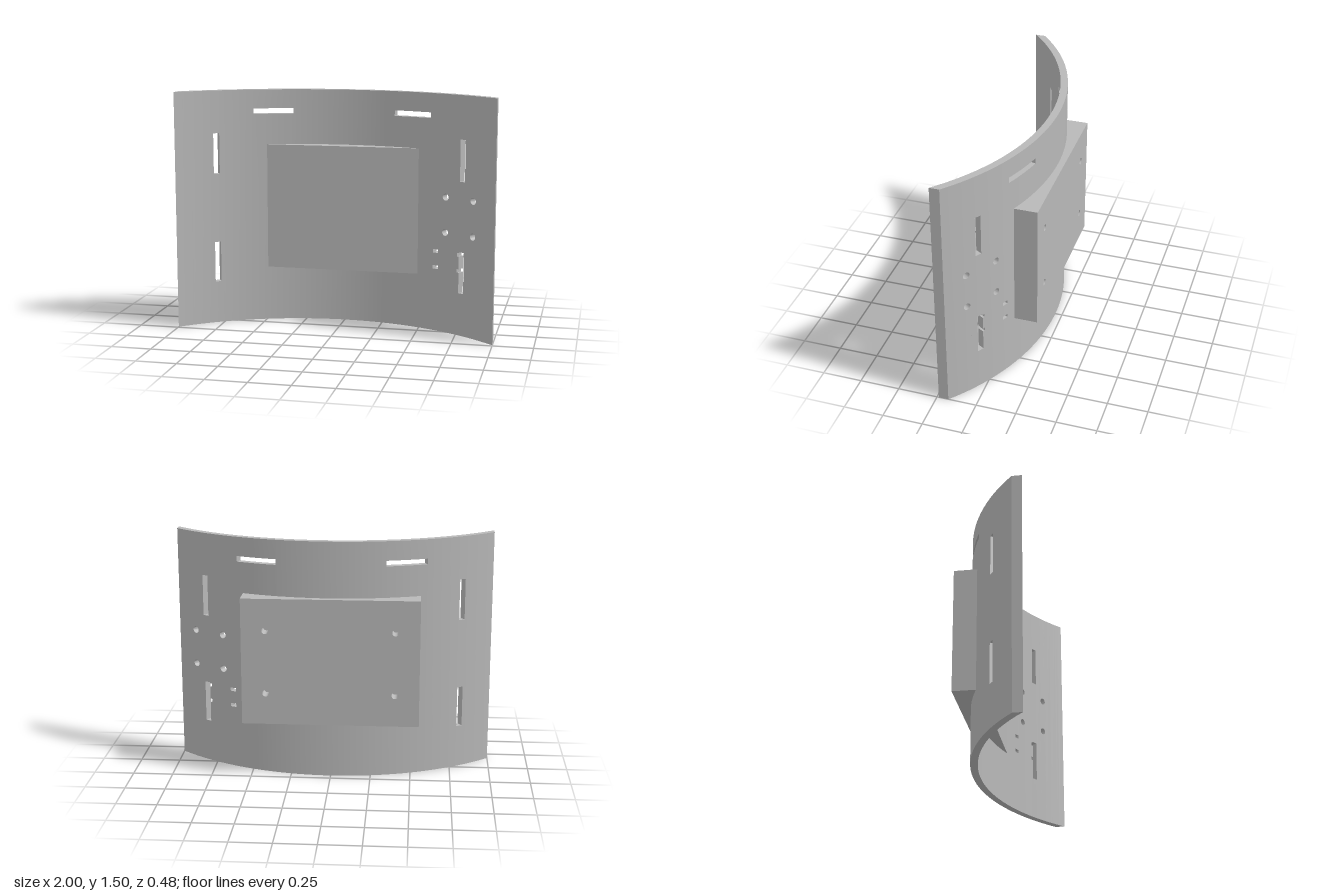
import * as THREE from 'three';
import { toCreasedNormals } from 'three/addons/utils/BufferGeometryUtils.js';

const DEG = Math.PI / 180;
const CENTRE_Z = 1.295, R_IN = 1.455, R_OUT = 1.5, HEIGHT = 1.5;
const A_END = Math.asin(1 / R_IN) / DEG, A_OUT = Math.asin(1 / R_OUT) / DEG;

// A hole spans angles a0..a1 (degrees); gap(a) gives its lower and upper y there
const slot = (a0, a1, y0, y1) => ({ a0, a1, cuts: [a0, a1], gap: () => [y0, y1] });
function roundHole(a, y, r) {
  const w = r / R_IN / DEG;
  const cuts = [];
  for (let i = 0; i <= 12; i++) cuts.push(a - w * Math.cos((i / 12) * Math.PI));
  return {
    a0: a - w, a1: a + w, cuts,
    gap: (t) => {
      const h = r * Math.sqrt(Math.max(0, 1 - ((t - a) / w) ** 2));
      return [y - h, y + h];
    },
  };
}

// Point on the curved plate, with both ends trimmed flat at x = -1 and x = 1
function platePoint(a, r, y) {
  const x = THREE.MathUtils.clamp(r * Math.sin(a * DEG), -1, 1);
  return [x, y, CENTRE_Z - Math.sqrt(r * r - x * x)];
}

function curvedPlate(holes) {
  const positions = [];
  const quad = (a, b, c, d, flip) => {
    const corners = flip ? [a, c, b, a, d, c] : [a, b, c, a, c, d];
    corners.forEach((p) => positions.push(...p));
  };

  // Column boundaries: even steps plus every hole edge
  let cuts = [-A_END, A_END, -A_OUT, A_OUT];
  for (let a = -41; a <= 41; a += 2) cuts.push(a);
  holes.forEach((h) => cuts.push(...h.cuts));
  cuts = cuts.sort((a, b) => a - b).filter((a, i, all) => i === 0 || a - all[i - 1] > 1e-5);

  const holesIn = (i) => {
    const mid = (cuts[i] + cuts[i + 1]) / 2;
    return holes.filter((h) => h.a0 < mid && mid < h.a1).sort((p, q) => p.gap(mid)[0] - q.gap(mid)[0]);
  };
  const levels = (list, a) => [0, ...list.flatMap((h) => h.gap(a)), HEIGHT];
  const isSolid = (list, a, y) => list !== null && !list.some((h) => y > h.gap(a)[0] && y < h.gap(a)[1]);

  let previous = null;
  cuts.forEach((a, i) => {
    const current = i < cuts.length - 1 ? holesIn(i) : null;

    // Upright walls where the solid starts or stops
    const ys = [...levels(previous || [], a), ...levels(current || [], a)].sort((p, q) => p - q);
    for (let k = 0; k < ys.length - 1; k++) {
      if (ys[k + 1] - ys[k] < 1e-4) continue;
      const mid = (ys[k] + ys[k + 1]) / 2;
      const left = isSolid(previous, a, mid);
      if (left === isSolid(current, a, mid)) continue;
      quad(platePoint(a, R_IN, ys[k]), platePoint(a, R_OUT, ys[k]),
        platePoint(a, R_OUT, ys[k + 1]), platePoint(a, R_IN, ys[k + 1]), !left);
    }

    // Front, back, upper and lower faces of each solid run in this column
    if (current) {
      const b = cuts[i + 1];
      const ya = levels(current, a), yb = levels(current, b);
      for (let k = 0; k < ya.length; k += 2) {
        for (const r of [R_IN, R_OUT]) {
          quad(platePoint(a, r, ya[k]), platePoint(b, r, yb[k]),
            platePoint(b, r, yb[k + 1]), platePoint(a, r, ya[k + 1]), r === R_OUT);
        }
        for (const e of [k, k + 1]) {
          quad(platePoint(a, R_IN, ya[e]), platePoint(b, R_IN, yb[e]),
            platePoint(b, R_OUT, yb[e]), platePoint(a, R_OUT, ya[e]), e === k);
        }
      }
    }
    previous = current;
  });

  const geometry = new THREE.BufferGeometry();
  geometry.setAttribute('position', new THREE.Float32BufferAttribute(positions, 3));
  return toCreasedNormals(geometry, 30 * DEG);
}

export function createModel() {
  const group = new THREE.Group();
  const grey = new THREE.MeshStandardMaterial({ color: 0xb8b8b8 });
  grey.name = 'grey';
  const add = (name, geometry, z = 0) => {
    const mesh = new THREE.Mesh(geometry, grey);
    mesh.name = name;
    mesh.position.z = z;
    group.add(mesh);
    return mesh;
  };

  // Strap slots on both sides
  const holes = [];
  for (const s of [-1, 1]) {
    const pair = (a, b, y0, y1) => holes.push(slot(Math.min(s * a, s * b), Math.max(s * a, s * b), y0, y1));
    pair(13, 23, 1.345, 1.38);
    pair(31.75, 33.3, 0.97, 1.23);
    pair(31.75, 33.3, 0.27, 0.53);
  }
  // Screw holes and cable tie holes on the left side only
  for (const a of [27.5, 36]) for (const y of [0.64, 0.862]) holes.push(roundHole(a, y, 0.022));
  for (const y of [0.41, 0.513]) {
    holes.push(slot(24, 25.5, y - 0.011, y + 0.011));
    holes.push(slot(31.2, 31.75, y - 0.011, y + 0.011));
  }
  add('curvedPlate', curvedPlate(holes));

  // Mounting block: a drilled rear layer on a solid front layer
  const BACK = -0.245, DRILL = 0.09, FRONT = -0.075;
  const face = new THREE.Shape([[-0.55, 0.35], [0.55, 0.35], [0.55, 1.15], [-0.55, 1.15]]
    .map(([x, y]) => new THREE.Vector2(x, y)));
  for (const x of [-0.4, 0.4]) {
    for (const y of [0.55, 0.95]) {
      face.holes.push(new THREE.Path().absarc(x, y, 0.021, 0, Math.PI * 2, true));
    }
  }
  const drilled = new THREE.ExtrudeGeometry(face, { depth: DRILL, bevelEnabled: false, curveSegments: 20 });
  add('blockRear', toCreasedNormals(drilled, 30 * DEG), BACK);
  const depth = FRONT - BACK - DRILL;
  add('blockFront', new THREE.BoxGeometry(1.1, 0.8, depth), FRONT - depth / 2).position.y = 0.75;

  return group;
}
